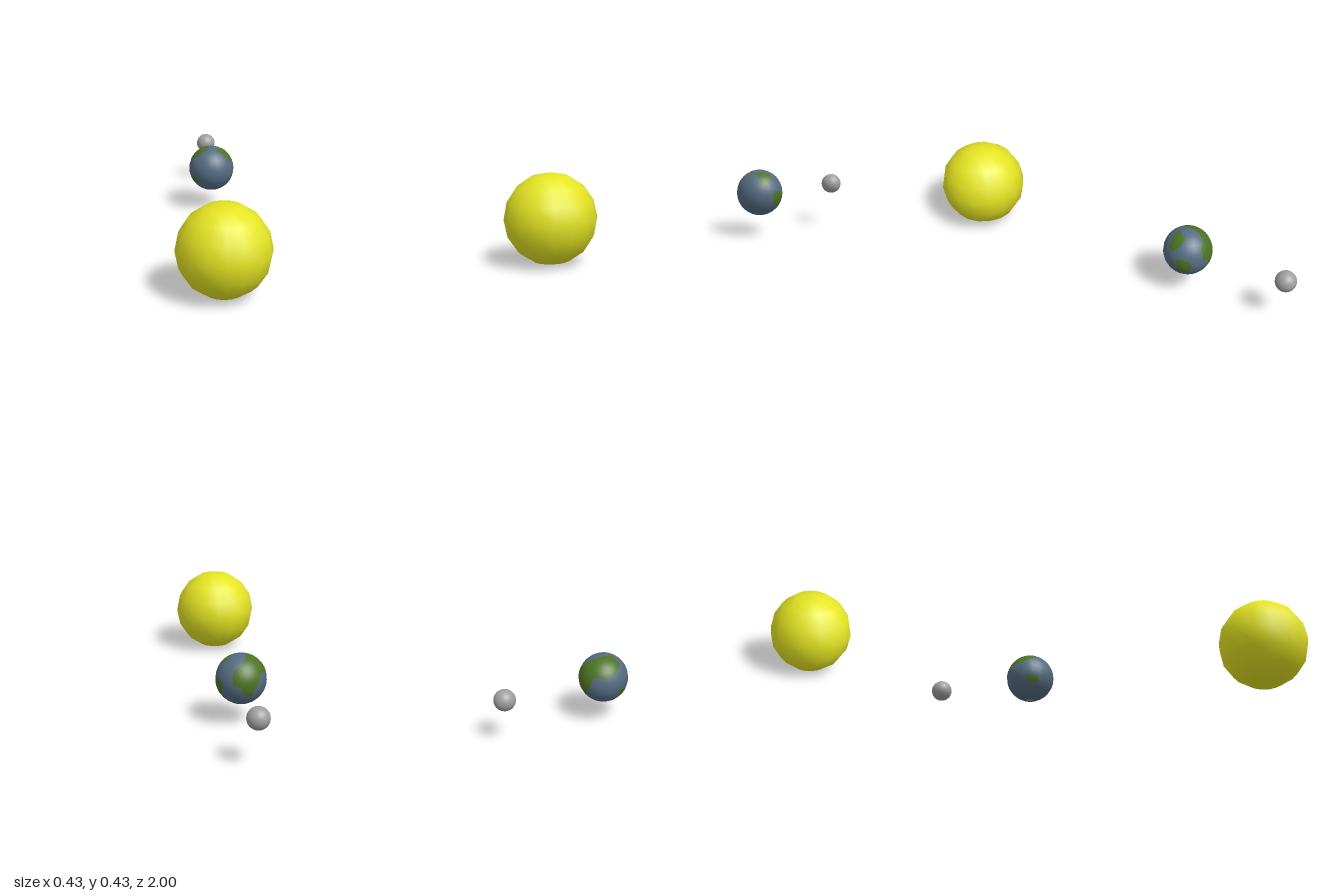
import * as THREE from 'three';

const mat = (name, color) => {
  const m = new THREE.MeshStandardMaterial({ color });
  m.name = name;
  return m;
};

function ball(name, radius, w, h, material) {
  const mesh = new THREE.Mesh(new THREE.SphereGeometry(radius, w, h), material);
  mesh.name = name;
  return mesh;
}

// Curved patch on a sphere: rings running from its centre out to the outline.
// Outline points are directions, anticlockwise as seen from outside.
function patch(name, outline, radius, material, centre) {
  const dirs = outline.map(p => new THREE.Vector3(...p).normalize());
  const mid = new THREE.Vector3();
  if (centre) mid.set(...centre);
  else dirs.forEach(d => mid.add(d));
  mid.normalize();

  const split = 4, rings = 6;
  const edge = [];
  dirs.forEach((d, i) => {
    const next = dirs[(i + 1) % dirs.length];
    for (let k = 0; k < split; k++) edge.push(d.clone().lerp(next, k / split).normalize());
  });

  const n = edge.length, pos = [], nor = [], index = [];
  for (let r = 0; r <= rings; r++) {
    for (const e of edge) {
      const v = mid.clone().lerp(e, r / rings).normalize();
      nor.push(v.x, v.y, v.z);
      pos.push(v.x * radius, v.y * radius, v.z * radius);
    }
  }
  for (let r = 0; r < rings; r++) {
    for (let i = 0; i < n; i++) {
      const j = (i + 1) % n;
      const a = r * n + i, b = r * n + j, c = a + n, d = b + n;
      if (r > 0) index.push(a, d, b);
      index.push(a, c, d);
    }
  }
  const geo = new THREE.BufferGeometry();
  geo.setAttribute('position', new THREE.Float32BufferAttribute(pos, 3));
  geo.setAttribute('normal', new THREE.Float32BufferAttribute(nor, 3));
  geo.setIndex(index);
  const mesh = new THREE.Mesh(geo, material);
  mesh.name = name;
  return mesh;
}

export function createModel() {
  const yellow = mat('sunYellow', 0xe4e422);
  const blue = mat('oceanBlue', 0x566c82);
  const green = mat('landGreen', 0x4b7320);
  const grey = mat('moonGrey', 0xa0a0a0);
  const ice = mat('polarGrey', 0x9c8f88);

  const model = new THREE.Group();
  model.name = 'sunEarthMoon';

  // Sun
  const sun = ball('sun', 0.216, 16, 8, yellow);
  sun.position.set(0, 0.217, 0.782);
  model.add(sun);

  // Earth: ocean sphere with thin land patches
  const R = 0.12, L = R * 1.004;
  const earth = new THREE.Group();
  earth.name = 'earth';
  earth.position.set(0, 0.225, -0.44);
  earth.add(ball('ocean', R, 24, 16, blue));

  earth.add(patch('northWestLand', [
    [0.11, 0.92, 0.37], [0.8, 0.38, 0.47], [0.88, 0.44, 0.19],
    [0.77, 0.63, -0.01], [0.52, 0.84, -0.13],
  ], L, green));

  earth.add(patch('southWestLand', [
    [0.98, 0.18, 0.04], [0.97, -0.22, 0], [0.82, -0.56, -0.12],
    [0.8, -0.44, -0.4], [0.79, -0.1, -0.6], [0.88, 0.16, -0.46],
  ], L, green));

  earth.add(patch('southernLand', [
    [0.4, 0.43, -0.81], [0.43, 0.08, -0.9], [0.12, -0.04, -0.99],
    [0.03, -0.34, -0.94], [-0.28, -0.47, -0.85], [-0.4, -0.15, -0.9],
    [-0.56, 0.01, -0.82], [-0.61, 0.32, -0.72], [-0.2, 0.62, -0.76],
  ], L, green, [-0.1, 0.2, -0.97]));

  earth.add(patch('northEastLand', [
    [0.4, 0.43, -0.81], [-0.2, 0.62, -0.76], [-0.61, 0.32, -0.72],
    [-0.73, 0.39, -0.55], [-0.91, 0.3, -0.29], [-0.9, 0.43, 0.13],
    [-0.57, 0.68, 0.46], [-0.18, 0.93, 0.31], [-0.1, 0.9, -0.42],
    [0.1, 0.7, -0.71], [0.38, 0.56, -0.74],
  ], L, green, [-0.5, 0.8, -0.3]));

  earth.add(patch('southEastIsland', [
    [-0.91, -0.25, 0.2], [-0.85, -0.45, 0.25], [-0.7, -0.55, 0.45],
    [-0.6, -0.5, 0.62], [-0.68, -0.27, 0.65], [-0.8, -0.22, 0.5],
  ], L, green));

  // Small cap at the south pole
  const cap = [];
  for (let i = 0; i < 8; i++) {
    const t = (i / 8) * Math.PI * 2;
    cap.push([0.13 * Math.cos(t), -1, 0.13 * Math.sin(t)]);
  }
  earth.add(patch('southPoleCap', cap, L, ice));
  model.add(earth);

  // Moon
  const moon = ball('moon', 0.052, 24, 16, grey);
  moon.position.set(-0.01, 0.227, -0.948);
  model.add(moon);

  return model;
}
